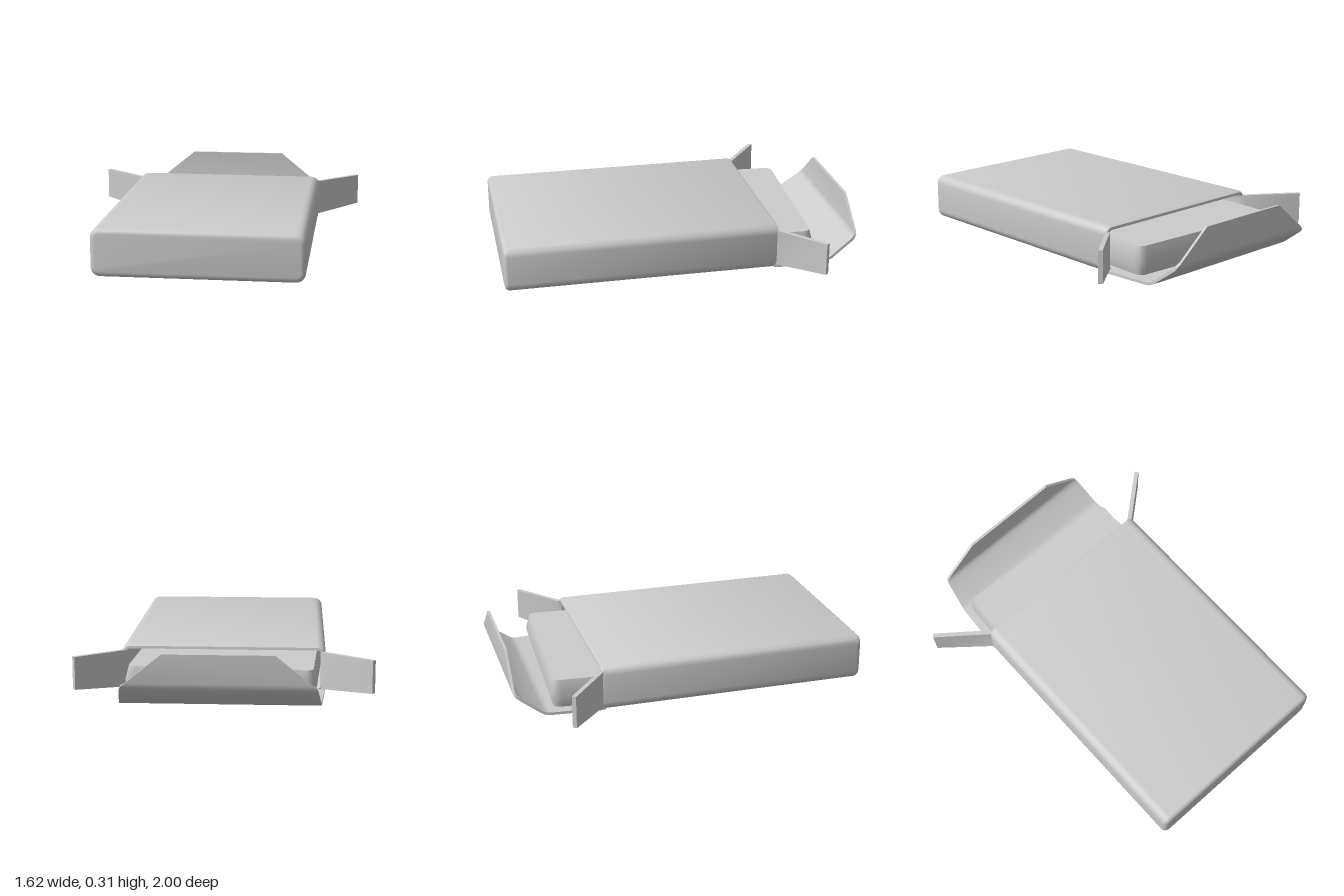
import * as THREE from 'three';
import { toCreasedNormals } from 'three/addons/utils/BufferGeometryUtils.js';

const CX = 0.01; // centre line of the carton

// Skin a series of equal-length rings (counter-clockwise seen from +z) and cap both ends
function loft(rings) {
  const n = rings[0].length, index = [];
  for (let i = 0; i < rings.length - 1; i++) {
    for (let j = 0; j < n; j++) {
      const a = i * n + j, b = i * n + (j + 1) % n, c = b + n, d = a + n;
      index.push(a, d, c, a, c, b);
    }
  }
  const last = (rings.length - 1) * n;
  for (let j = 1; j < n - 1; j++) {
    index.push(0, j, j + 1, last, last + j + 1, last + j);
  }
  const geo = new THREE.BufferGeometry();
  geo.setAttribute('position', new THREE.Float32BufferAttribute(rings.flat(2), 3));
  geo.setIndex(index);
  return toCreasedNormals(geo, 0.6);
}

// Rounded rectangle cross-section of the carton at depth z, shrunk by inset
function cartonRing(z, inset) {
  const ring = [], r = 0.05, hw = 0.56 - r, hh = 0.13 - r, steps = 6;
  [[1, 1], [-1, 1], [-1, -1], [1, -1]].forEach(([sx, sy], k) => {
    for (let i = 0; i <= steps; i++) {
      const a = (k + i / steps) * Math.PI / 2;
      ring.push([CX + sx * hw + (r - inset) * Math.cos(a), 0.135 + sy * hh + (r - inset) * Math.sin(a), z]);
    }
  });
  return ring;
}

export function createModel() {
  const model = new THREE.Group();
  const material = new THREE.MeshStandardMaterial({ color: 0xcccccc, side: THREE.DoubleSide });
  const add = (name, geo) => {
    const mesh = new THREE.Mesh(geo, material);
    mesh.name = name;
    model.add(mesh);
    return mesh;
  };

  // Carton sleeve: rounded closed front, open back with a thin wall
  const rings = [], round = 0.03;
  for (let i = 0; i <= 5; i++) {
    const a = i / 5 * Math.PI / 2;
    rings.push(cartonRing(1 - round + round * Math.cos(a), round * (1 - Math.sin(a))));
  }
  rings.push(cartonRing(-0.505, 0), cartonRing(-0.52, 0.008), cartonRing(-0.522, 0.022), cartonRing(0.96, 0.022));
  add('carton', loft(rings));

  // Pack of cards sliding out slightly askew, with bulging edges
  const w = 0.495, len = 0.78, r = 0.045;
  const shape = new THREE.Shape();
  shape.moveTo(-w, 0);
  shape.lineTo(w, 0);
  shape.lineTo(w, len - r);
  shape.quadraticCurveTo(w, len, w - r, len);
  shape.lineTo(-w + r, len);
  shape.quadraticCurveTo(-w, len, -w, len - r);
  const cards = new THREE.ExtrudeGeometry(shape, {
    depth: 0.01, bevelThickness: 0.075, bevelSize: 0.02, bevelSegments: 1, curveSegments: 6,
  });
  cards.translate(0, -len, 0).rotateX(-Math.PI / 2);
  const pack = add('cardPack', toCreasedNormals(cards, 0.6));
  pack.position.set(0.015, 0.107, -0.75);
  pack.rotation.y = -0.05;

  // Side flaps folded outwards, mirrored
  for (const s of [1, -1]) {
    const sections = [
      [CX + s * 0.538, -0.5, 0.03, 0.235],
      [CX + s * 0.548, -0.525, 0.03, 0.235],
      [s * 0.8, -0.73, 0.06, 0.24],
    ];
    const px = 0.64 * 0.012, pz = s * 0.77 * 0.012;
    add(s > 0 ? 'leftSideFlap' : 'rightSideFlap', loft(sections.map(([x, z, y0, y1]) => [
      [x - px, y0, z - pz], [x + px, y0, z + pz], [x + px, y1, z + pz], [x - px, y1, z - pz],
    ])));
  }

  // Closing flap: lower-face profile of z, y, half width, folded up in two bends to a tapered tongue
  const profile = [
    [-0.5, 0.012, 0.55], [-0.53, 0.012, 0.556], [-0.8, 0.012, 0.537], [-0.825, 0.015, 0.535],
    [-0.85, 0.026, 0.532], [-0.965, 0.11, 0.516], [-0.985, 0.127, 0.512], [-0.996, 0.145, 0.505],
    [-1, 0.165, 0.48], [-1, 0.32, 0.29],
  ];
  const t = 0.015;
  add('closingFlap', loft(profile.map(([z, y, hw], i) => {
    const p = profile[Math.max(i - 1, 0)], q = profile[Math.min(i + 1, profile.length - 1)];
    const l = Math.hypot(q[0] - p[0], q[1] - p[1]);
    const nz = t * (q[1] - p[1]) / l, ny = -t * (q[0] - p[0]) / l;
    return [
      [CX - hw, y, z], [CX + hw, y, z], [CX + hw, y + ny, z + nz], [CX - hw, y + ny, z + nz],
    ];
  })));

  return model;
}
